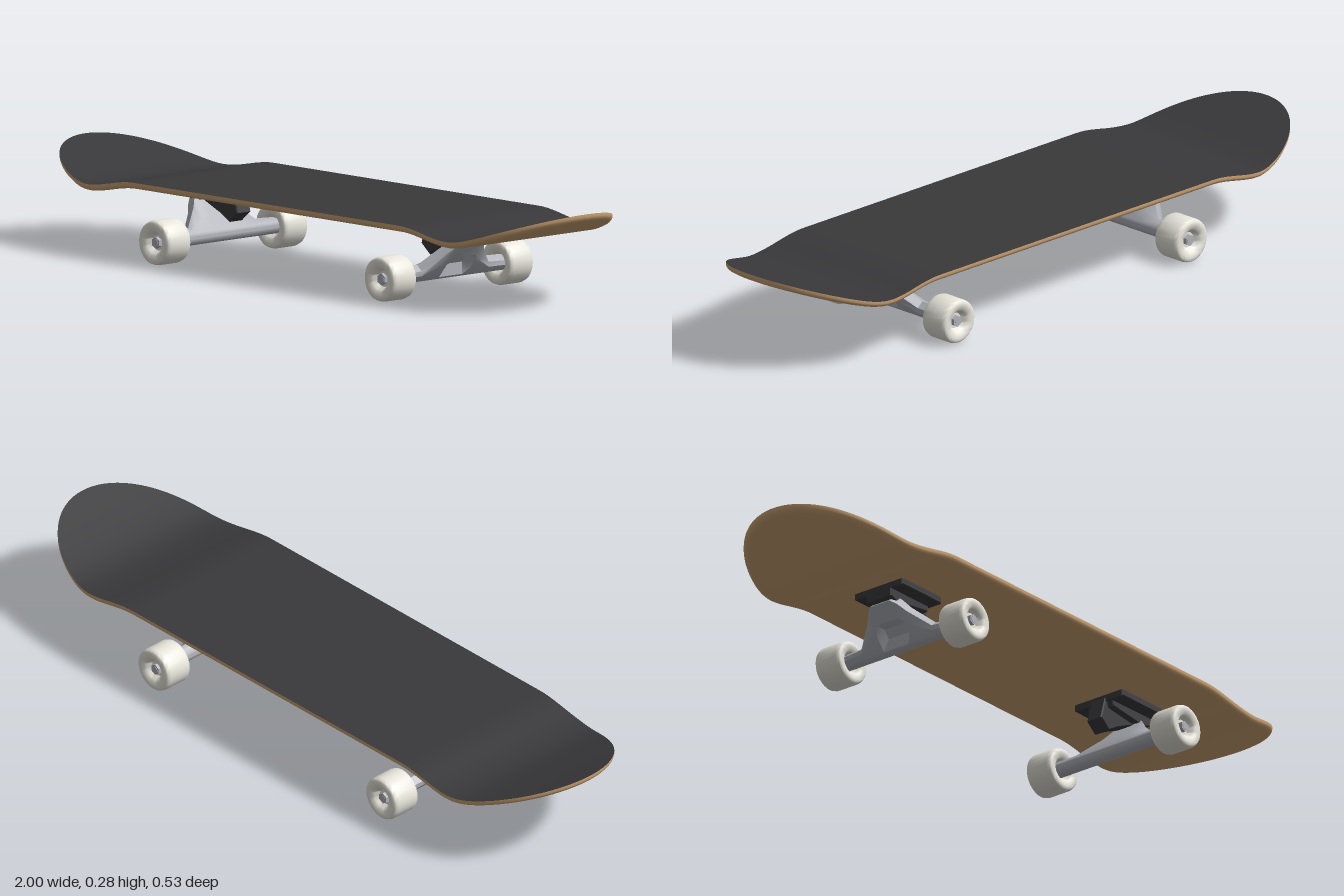
import * as THREE from 'three';
import { toCreasedNormals } from 'three/addons/utils/BufferGeometryUtils.js';

const mat = (color, side = THREE.FrontSide) => new THREE.MeshStandardMaterial({ color, side });
const WOOD = mat(0xcfa676, THREE.DoubleSide), GRIP = mat(0x39393b, THREE.DoubleSide);
const METAL = mat(0xb0b2b9, THREE.DoubleSide), DARK = mat(0x3a3a3d), URETHANE = mat(0xe8e6dc);

function add(parent, name, geometry, material) {
  const mesh = new THREE.Mesh(geometry, material);
  mesh.name = name;
  parent.add(mesh);
  return mesh;
}

// Grid surface: point(i, j) for i = 0..nu, j = 0..nv
function gridSurface(nu, nv, point) {
  const pos = [], idx = [];
  for (let i = 0; i <= nu; i++) for (let j = 0; j <= nv; j++) pos.push(...point(i, j));
  for (let i = 0; i < nu; i++) for (let j = 0; j < nv; j++) {
    const a = i * (nv + 1) + j, b = a + nv + 1;
    idx.push(a, a + 1, b, b, a + 1, b + 1);
  }
  const g = new THREE.BufferGeometry();
  g.setAttribute('position', new THREE.Float32BufferAttribute(pos, 3));
  g.setIndex(idx);
  g.computeVertexNormals();
  return g;
}

// Deck outline and side profile
const TOP = 0.221, THICK = 0.018, HALF = 0.263, STRAIGHT = 0.67, N = 120;
const stationX = i => Math.sin((i / N - 0.5) * Math.PI);
function halfWidth(x) {
  const t = Math.max(0, (Math.abs(x) - STRAIGHT) / (1 - STRAIGHT));
  return HALF * Math.sqrt(Math.max(0, 1 - t * t));
}
function topY(x) {
  const a = Math.abs(x), e = Math.max(0, a - 0.72);
  return TOP - 0.025 * THREE.MathUtils.smoothstep(a, 0.53, 0.72) + 0.36 * (Math.hypot(e, 0.06) - 0.06);
}

// Deck point at station i: across = -1..1, moved in from the rim and down from the top
function deckPoint(i, across, inset, drop) {
  const k = 1 - inset / HALF, x = stationX(i) * (1 - inset);
  return [x, topY(x) - drop, halfWidth(stationX(i)) * k * across];
}

function makeDeck() {
  const deck = new THREE.Group();
  deck.name = 'deck';
  const M = 8, rim = [[0, 0], [0, 0.007], [0.002, 0.012], [0.006, 0.016], [0.012, THICK]];
  add(deck, 'gripTape', gridSurface(N, M, (i, j) => deckPoint(i, 2 * j / M - 1, 0, 0)), GRIP);
  add(deck, 'deckUnderside', gridSurface(N, M, (i, j) => deckPoint(i, 1 - 2 * j / M, 0.012, THICK)), WOOD);
  // Rounded rim, front and back halves
  for (const s of [1, -1]) {
    add(deck, s > 0 ? 'frontEdge' : 'backEdge', gridSurface(N, rim.length - 1, (i, j) =>
      deckPoint(i, s, ...rim[s > 0 ? j : rim.length - 1 - j])), WOOD);
  }
  return deck;
}

// Side profile in x/y, extruded symmetrically across z
function slab(points, halfZ) {
  const shape = new THREE.Shape(points.map(p => new THREE.Vector2(...p)));
  const g = new THREE.ExtrudeGeometry(shape, {
    depth: 2 * halfZ - 0.006, bevelEnabled: true, bevelSize: 0.003, bevelThickness: 0.003, bevelOffset: -0.003, bevelSegments: 1
  });
  return g.translate(0, 0, -halfZ + 0.003);
}

const AXLE_X = 0.45, AXLE_Y = 0.063;

// Hanger: sections across z, each a round axle barrel stretched up towards the pivot
function hangerGeometry() {
  // z, height of the web, half thickness at its top, depth of the hollow
  const half = [[0.197, 0.021, 0.012, 0], [0.125, 0.025, 0.012, 0], [0.07, 0.085, 0.014, 0],
    [0.052, 0.112, 0.016, 0], [0.035, 0.13, 0.019, 0.022]];
  const sections = [...half, ...half.map(([z, ...r]) => [-z, ...r]).reverse()];
  const d = new THREE.Vector2(0.64, 0.77), n = new THREE.Vector2(0.77, -0.64), R = 0.021;
  const rings = sections.map(([z, h, w, hollow]) => {
    const ring = [];
    for (let k = 0; k <= 8; k++) {
      const a = -Math.PI * k / 8;
      ring.push([R * Math.cos(a), R * Math.sin(a)]);
    }
    ring.push([-R, h * 0.45], [-w, h], [w, h], [R, h * 0.58], [R - hollow, h * 0.42], [R - hollow, h * 0.2], [R, 0]);
    return ring.map(([u, v]) => [AXLE_X + n.x * u + d.x * v, AXLE_Y + n.y * u + d.y * v, z]);
  });
  const g = gridSurface(rings.length - 1, rings[0].length - 1, (i, j) => rings[i][j]);
  return toCreasedNormals(g, 0.7);
}

// Wheel with small shoulders and a recessed core on both faces
function wheelGeometry() {
  const side = [[0.009, 0.024], [0.022, 0.024], [0.03, 0.036], [0.036, 0.042], [0.048, 0.044], [0.055, 0.0435],
    [0.0595, 0.04], [0.062, 0.032]];
  const profile = [...side.map(([r, y]) => [r, -y]), ...side.slice().reverse()];
  const g = new THREE.LatheGeometry(profile.map(p => new THREE.Vector2(...p)), 32);
  return toCreasedNormals(g.rotateX(Math.PI / 2), 0.75);
}

function makeTruck() {
  const truck = new THREE.Group();
  truck.name = 'truck';

  // Baseplate, pivot block and kingpin housing
  add(truck, 'baseplate', slab([[0.385, 0.184], [0.553, 0.184], [0.553, 0.206], [0.385, 0.206]], 0.085), DARK);
  add(truck, 'pivotBlock', slab([[0.39, 0.19], [0.395, 0.168], [0.44, 0.162], [0.525, 0.152], [0.553, 0.162], [0.553, 0.19]], 0.045), DARK);
  add(truck, 'kingpinHousing', slab([[0.384, 0.195], [0.366, 0.13], [0.40, 0.102], [0.44, 0.125], [0.52, 0.16], [0.52, 0.195]], 0.026), DARK);

  add(truck, 'hanger', hangerGeometry(), METAL);
  const axle = add(truck, 'axle', new THREE.CylinderGeometry(0.01, 0.01, 0.51, 16).rotateX(Math.PI / 2), METAL);
  axle.position.set(AXLE_X, AXLE_Y, 0);

  // Wheels and axle nuts
  for (const s of [1, -1]) {
    const wheel = add(truck, 'wheel', wheelGeometry(), URETHANE);
    wheel.position.set(AXLE_X, AXLE_Y, s * 0.219);
    const nut = add(truck, 'axleNut', toCreasedNormals(new THREE.CylinderGeometry(0.016, 0.016, 0.012, 6).rotateX(Math.PI / 2), 0.5), METAL);
    nut.position.set(AXLE_X, AXLE_Y, s * 0.248);
  }
  return truck;
}

export function createModel() {
  const model = new THREE.Group();
  model.name = 'skateboard';
  model.add(makeDeck());
  for (const turn of [0, Math.PI]) {
    const truck = makeTruck();
    truck.rotation.y = turn;
    model.add(truck);
  }
  // Rest the wheels on the ground
  model.position.y = -0.001;
  return model;
}
